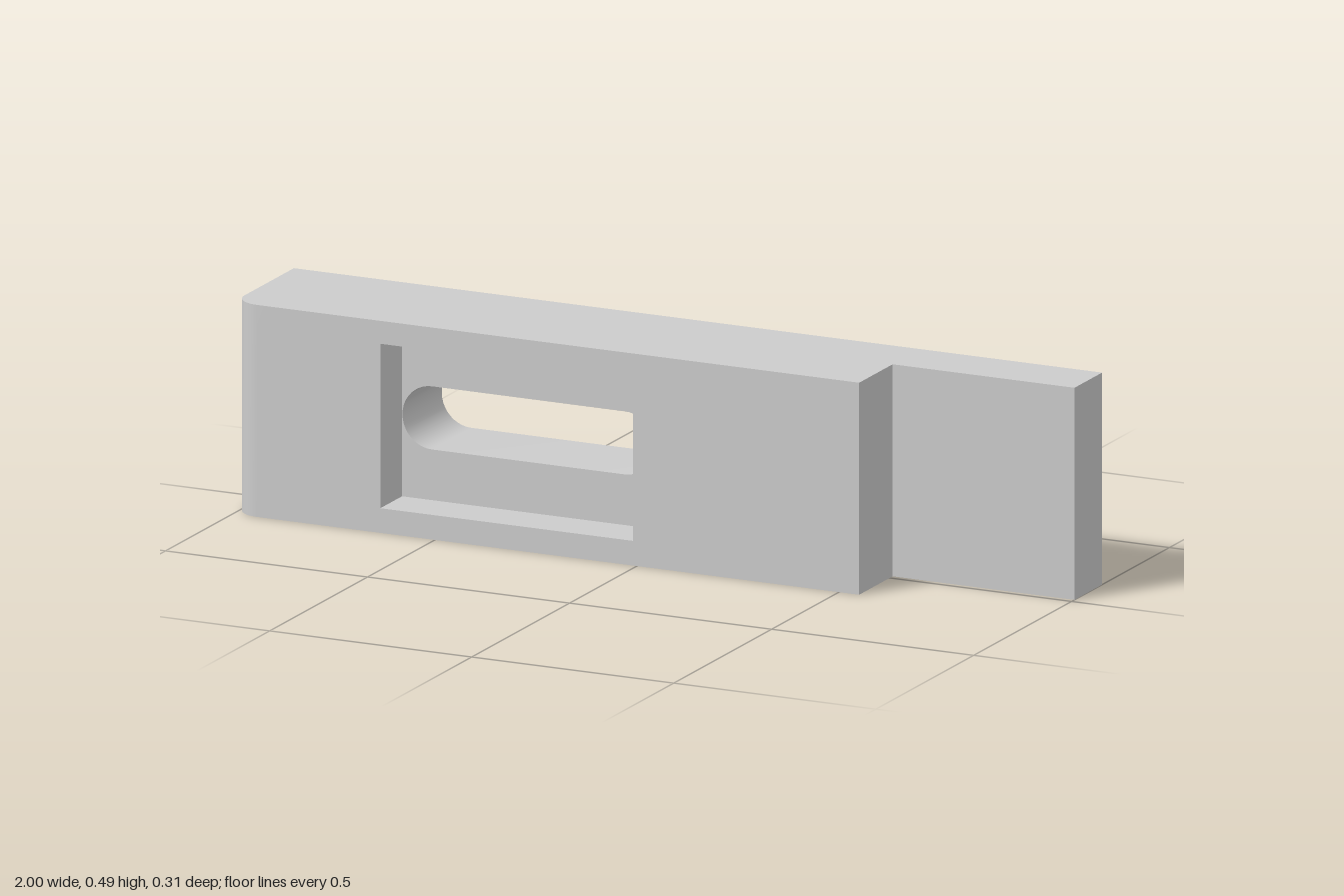
import * as THREE from 'three';
import { mergeGeometries, toCreasedNormals } from 'three/addons/utils/BufferGeometryUtils.js';

const H = 0.49, BACK = -0.156, FRONT = 0.156, STEP_Z = -0.015, STEP_X = 0.55, R = 0.06;
const POCKET = { x0: -0.635, x1: -0.01, y0: 0.057, y1: 0.437, z: 0.045 };
const SLOT = { x0: -0.634, x1: -0.011, y: 0.247, r: 0.073 };

const V = (x, y, z) => new THREE.Vector3(x, y, z);

// Sweeps a polyline along d; faces point along (step direction) x d
function wall(points, d) {
  const pos = [];
  for (let i = 0; i < points.length - 1; i++) {
    const a = points[i], b = points[i + 1];
    const c = b.clone().add(d), e = a.clone().add(d);
    for (const p of [a, b, c, a, c, e]) pos.push(p.x, p.y, p.z);
  }
  return new THREE.BufferGeometry().setAttribute('position', new THREE.Float32BufferAttribute(pos, 3));
}

// Flat face from an outline and holes, optionally turned to face backwards
function face(outline, holes = [], flip = false) {
  const shape = new THREE.Shape(outline);
  shape.holes = holes.map((h) => new THREE.Path(h));
  const g = new THREE.ShapeGeometry(shape);
  if (flip) g.setIndex(Array.from(g.index.array).reverse());
  const flat = g.toNonIndexed();
  flat.deleteAttribute('uv');
  flat.deleteAttribute('normal');
  return flat;
}

const rect = (x0, y0, x1, y1) =>
  [[x0, y0], [x1, y0], [x1, y1], [x0, y1]].map(([x, y]) => new THREE.Vector2(x, y));

// Counter-clockwise slot with round ends
function slotOutline({ x0, x1, y, r }) {
  const pts = [], n = 20;
  for (const [cx, start] of [[x1 - r, -Math.PI / 2], [x0 + r, Math.PI / 2]])
    for (let i = 0; i <= n; i++) {
      const t = start + (Math.PI * i) / n;
      pts.push(new THREE.Vector2(cx + r * Math.cos(t), y + r * Math.sin(t)));
    }
  return pts;
}

// Inward-facing wall of an opening
function openingWall(outline, z0, z1) {
  const loop = [...outline, outline[0]].reverse().map((p) => V(p.x, p.y, z0));
  return wall(loop, V(0, 0, z1 - z0));
}

export function createModel() {
  const group = new THREE.Group();
  const material = new THREE.MeshStandardMaterial({ color: 0xcccccc });
  const add = (name, parts) => {
    const mesh = new THREE.Mesh(toCreasedNormals(mergeGeometries(parts), 0.5), material);
    mesh.name = name;
    group.add(mesh);
  };
  const slot = slotOutline(SLOT);
  const pocket = rect(POCKET.x0, POCKET.y0, POCKET.x1, POCKET.y1);

  // Plan profile: rounded front corner at one end, thin tongue at the other
  const leftEnd = [V(-1, 0, BACK)];
  for (let i = 0; i <= 12; i++) {
    const t = (Math.PI / 2) * (i / 12);
    leftEnd.push(V(-1 + R - R * Math.cos(t), 0, FRONT - R + R * Math.sin(t)));
  }
  const rightEnd = [V(STEP_X, 0, FRONT), V(STEP_X, 0, STEP_Z), V(1, 0, STEP_Z), V(1, 0, BACK)];
  const plan = [...leftEnd, ...rightEnd].map((p) => new THREE.Vector2(p.x, -p.z));
  const up = V(0, H, 0);

  // Outer block
  add('bodyBlock', [
    wall(leftEnd, up),
    wall(rightEnd, up),
    face(plan).rotateX(-Math.PI / 2).translate(0, H, 0),
    face(plan, [], true).rotateX(-Math.PI / 2),
    face(rect(-1 + R, 0, STEP_X, H), [pocket]).translate(0, 0, FRONT),
    face(rect(-1, 0, 1, H), [slot], true).translate(0, 0, BACK),
  ]);

  // Rectangular front recess
  add('pocket', [
    openingWall(pocket, POCKET.z, FRONT),
    face(pocket, [slot]).translate(0, 0, POCKET.z),
  ]);

  // Round-ended slot through to the back
  add('throughSlot', [openingWall(slot, BACK, POCKET.z)]);
  return group;
}
